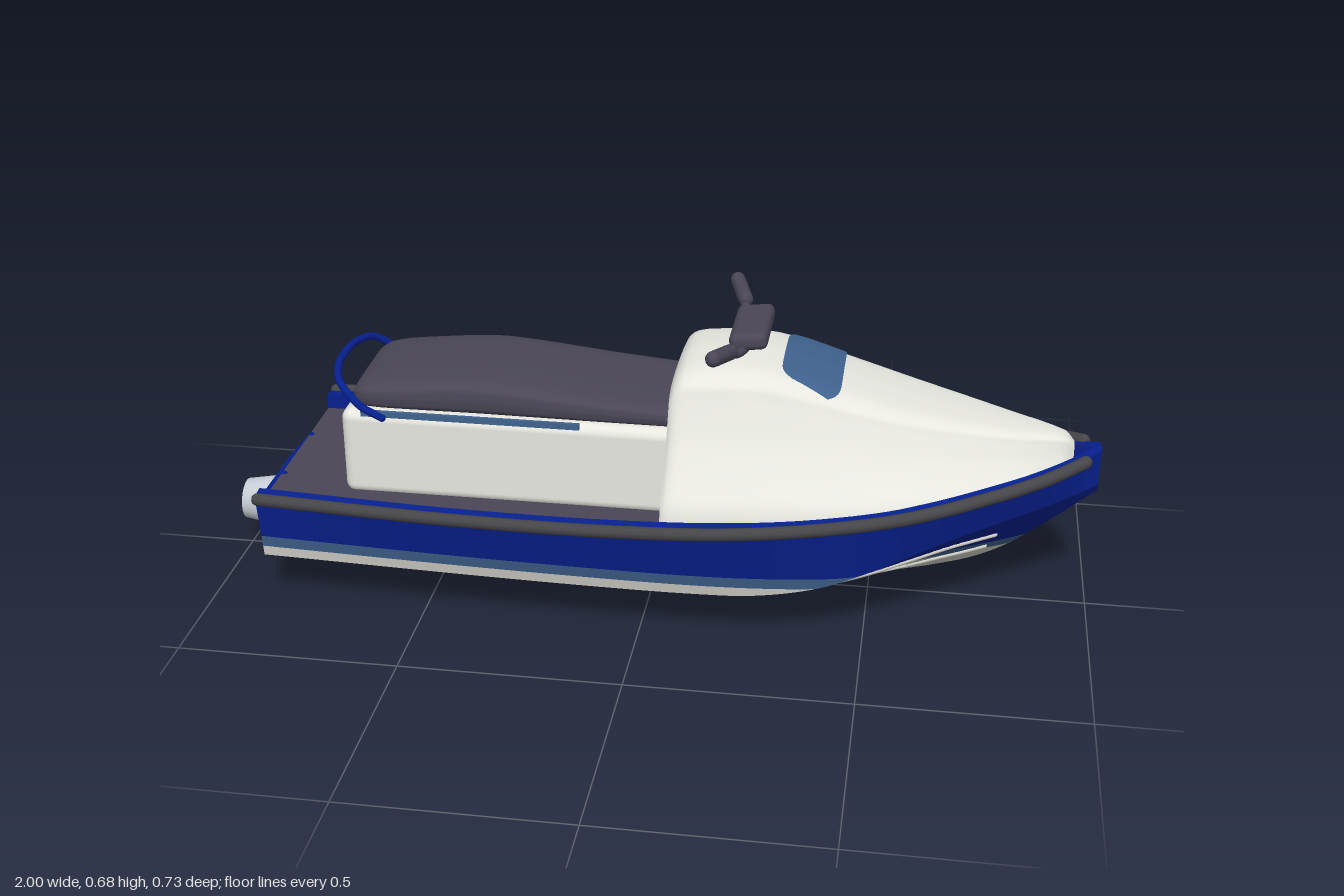
import * as THREE from 'three';
import { RoundedBoxGeometry } from 'three/addons/geometries/RoundedBoxGeometry.js';

const mat = (name, color) => new THREE.MeshStandardMaterial({ name, color, side: THREE.DoubleSide });

// Smooth interpolation through [x, value] pairs
function table(...p) {
  const slope = i => {
    const a = p[Math.max(0, i - 1)], b = p[Math.min(p.length - 1, i + 1)];
    return (b[1] - a[1]) / (b[0] - a[0]);
  };
  return x => {
    x = THREE.MathUtils.clamp(x, p[0][0], p[p.length - 1][0]);
    let i = 0;
    while (i < p.length - 2 && x > p[i + 1][0]) i++;
    const d = p[i + 1][0] - p[i][0], t = (x - p[i][0]) / d, s = 1 - t;
    return s * s * (1 + 2 * t) * p[i][1] + t * t * (3 - 2 * t) * p[i + 1][1]
      + d * t * s * (s * slope(i) - t * slope(i + 1));
  };
}

// Skin a list of cross-sections, each a list of [x, y, z]
function loft(sections) {
  const n = sections[0].length, index = [];
  for (let i = 0; i < sections.length - 1; i++)
    for (let j = 0; j < n - 1; j++) {
      const a = i * n + j, b = a + n;
      index.push(a, b, a + 1, b, b + 1, a + 1);
    }
  const g = new THREE.BufferGeometry();
  g.setAttribute('position', new THREE.Float32BufferAttribute(sections.flat(2), 3));
  g.setIndex(index);
  g.computeVertexNormals();
  return g;
}

const range = (a, b, n) => Array.from({ length: n + 1 }, (_, i) => a + (b - a) * i / n);

// Hull lines along x
const STERN = -0.87, BOW = 1, FLOOR = 0.25;
const keel = table([-0.87, 0.025], [-0.5, 0.008], [-0.2, 0.001], [0.2, 0.01], [0.5, 0.042], [0.7, 0.09], [0.8, 0.135], [0.9, 0.21], [1, 0.295]);
const chineY = table([-0.87, 0.12], [0.2, 0.12], [0.3, 0.128], [0.4, 0.147], [0.5, 0.178], [0.6, 0.215], [0.7, 0.246], [0.8, 0.268], [0.9, 0.288], [1, 0.315]);
const chineW = table([-0.87, 0.265], [-0.4, 0.285], [0, 0.295], [0.2, 0.292], [0.4, 0.277], [0.5, 0.254], [0.6, 0.222], [0.7, 0.178], [0.8, 0.127], [0.9, 0.07], [1, 0.014]);
const sheerY = table([-0.87, 0.283], [-0.4, 0.286], [0, 0.295], [0.5, 0.326], [0.8, 0.364], [0.95, 0.388], [1, 0.405]);
const sheerW = table([-0.87, 0.292], [-0.4, 0.328], [0, 0.342], [0.2, 0.34], [0.4, 0.313], [0.6, 0.26], [0.8, 0.165], [0.9, 0.1], [1, 0.02]);
const innerW = x => Math.max(0.002, sheerW(x) - 0.035);

function hullWidth(x, y) {
  const k = keel(x), c = chineY(x), s = sheerY(x);
  return y <= c ? chineW(x) * Math.max(0, y - k) / (c - k)
    : THREE.MathUtils.lerp(chineW(x), sheerW(x), (y - c) / (s - c));
}

// Cowl surface: a flared shoulder profile scaled along x
const cowlTop = table([0.05, 0.55], [0.06, 0.572], [0.08, 0.587], [0.13, 0.595], [0.2, 0.598], [0.28, 0.592], [0.45, 0.543], [0.6, 0.502], [0.8, 0.457], [0.92, 0.432], [0.94, 0.412]);
const cowlScale = table([0.05, 0.97], [0.06, 0.99], [0.08, 1], [0.92, 1], [0.94, 0.8]);
const profile = new THREE.SplineCurve([[1, 0], [0.96, 0.2], [0.82, 0.38], [0.67, 0.585], [0.55, 0.81], [0.49, 0.915], [0.33, 0.98], [0, 1]]
  .map(p => new THREE.Vector2(...p))).getPoints(28);
function cowlHalf(x) {
  const y0 = sheerY(x) - 0.04, w = (sheerW(x) - 0.03) * cowlScale(x);
  return profile.map(p => [x, y0 + (cowlTop(x) - y0) * p.y, w * p.x]);
}
function cowlSection(x) {
  const half = cowlHalf(x);
  return [...half, ...half.slice(0, -1).reverse().map(([a, b, c]) => [a, b, -c])];
}
function cowlHeight(x, z) {
  const h = cowlHalf(x);
  let i = 0;
  while (i < h.length - 2 && h[i + 1][2] > Math.abs(z)) i++;
  const t = (Math.abs(z) - h[i][2]) / (h[i + 1][2] - h[i][2]);
  return h[i][1] + t * (h[i + 1][1] - h[i][1]);
}

export function createModel() {
  const root = new THREE.Group();
  root.name = 'jetBoat';
  const blue = mat('hullBlue', 0x07208f), white = mat('cowlWhite', 0xe8e8e1), grey = mat('bottomGrey', 0xd6d5cd);
  const slate = mat('slateBlue', 0x40628e), dark = mat('seatCharcoal', 0x4a4656), rubber = mat('bumperRubber', 0x45454a);
  const silver = mat('nozzleSilver', 0xc8ced6);
  const add = (name, geo, m, x = 0, y = 0, z = 0) => {
    const mesh = new THREE.Mesh(geo, m);
    mesh.name = name;
    mesh.position.set(x, y, z);
    root.add(mesh);
    return mesh;
  };
  const tube = (name, pts, r, m, seg = 40) => {
    const v = pts.map(p => new THREE.Vector3(...p));
    add(name, new THREE.TubeGeometry(new THREE.CatmullRomCurve3(v, false, 'centripetal'), seg, r, 10), m);
    for (const e of [v[0], v[v.length - 1]]) add(name + 'End', new THREE.SphereGeometry(r, 10, 8), m, e.x, e.y, e.z);
  };

  // Hull: three colour bands, creased at the chine
  const xs = range(STERN, BOW, 90), wellXs = range(STERN, 0.1, 40);
  const bands = [['hullBottom', 0, 0.145, grey], ['hullStripe', 0.145, 0.173, slate], ['hullSide', 0.173, 1, blue]];
  for (const [name, lo, hi, m] of bands) {
    const rows = x => {
      const a = THREE.MathUtils.clamp(lo, keel(x), sheerY(x)), b = THREE.MathUtils.clamp(hi, keel(x), sheerY(x));
      return [a, THREE.MathUtils.clamp(chineY(x), a, b), b];
    };
    for (const s of [1, -1]) for (const k of [0, 1])
      add(name, loft(xs.map(x => rows(x).slice(k, k + 2).map(y => [x, y, s * hullWidth(x, y)]))), m);
    // Flat transom and narrow stem face
    for (const [x, top] of [[STERN, FLOOR], [BOW, 1]])
      add(name + 'End', loft(rows(x).map(y => Math.min(y, top)).map(y => [[x, y, -hullWidth(x, y)], [x, y, hullWidth(x, y)]])), m);
  }

  // Gunwale cap, inner wall, rubber bumper
  for (const s of [1, -1]) {
    add('gunwaleCap', loft(xs.map(x => [[x, sheerY(x), s * sheerW(x)], [x, sheerY(x) + 0.004, s * innerW(x)]])), blue);
    add('innerWall', loft(wellXs.map(x => [[x, sheerY(x) + 0.004, s * innerW(x)], [x, FLOOR, s * innerW(x)]])), blue);
    add('gunwaleEnd', loft([sheerY(STERN), FLOOR].map(y => [[STERN, y, s * innerW(STERN)], [STERN, y, s * hullWidth(STERN, y)]])), blue);
    tube('bumper', range(STERN + 0.01, 0.965, 24).map(x => [x, sheerY(x) - 0.002, s * (sheerW(x) + 0.008)]), 0.0145, rubber, 80);

    // Running strakes on the bottom
    const outer = table([-0.5, 0.19], [0.5, 0.19], [0.65, 0.15], [0.78, 0.085]);
    const inner = table([-0.5, 0.095], [0.5, 0.095], [0.65, 0.075], [0.76, 0.045]);
    for (const [f, end] of [[outer, 0.78], [inner, 0.76]])
      tube('strake', range(-0.5, end, 24).map(x =>
        [x, keel(x) + (chineY(x) - keel(x)) * f(x) / chineW(x), s * f(x)]), 0.006, grey, 60);
  }
  add('footwellFloor', loft(wellXs.map(x => [[x, FLOOR, -innerW(x)], [x, FLOOR, innerW(x)]])), dark);
  for (const [x, z, length] of [[-0.36, -0.284, 0.12], [-0.265, 0.286, 0.25]])
    add('footwellSlot', new RoundedBoxGeometry(length, 0.008, 0.018, 2, 0.003), slate, x, FLOOR + 0.004, z);

  // Cowl with flat back face and blunt nose
  const cx = [0.05, 0.055, 0.06, 0.07, 0.08, 0.1, ...range(0.13, 0.91, 40), 0.92, 0.928, 0.935, 0.94];
  add('cowl', loft(cx.map(cowlSection)), white);
  for (const x of [0.05, 0.94])
    add('cowlEnd', loft([cowlSection(x), cowlSection(x).map(p => [x, p[1], 0])]), white);

  // Windscreen plate following the cowl
  add('windscreen', loft(range(-1, 1, 28).map(t => range(-1, 1, 10).map(u => {
    const x = 0.357 + u * 0.066 * (1 - 0.4 * Math.abs(t) ** 10), z = t * (0.131 + 0.01 * u);
    return [x, cowlHeight(x, z) + 0.006, z];
  }))), slate);

  // Seat base with a thin trim ledge along each side of the seat
  add('seatBase', new RoundedBoxGeometry(0.79, 0.21, 0.332, 5, 0.025), white, -0.305, 0.345, 0);
  for (const s of [1, -1]) add('seatTrim', new THREE.BoxGeometry(0.5, 0.014, 0.009), slate, -0.4, 0.447, s * 0.1625);

  // Padded seat
  const seatTop = table([-0.68, 0.48], [-0.67, 0.498], [-0.64, 0.509], [-0.55, 0.521], [-0.4, 0.535], [-0.3, 0.529], [-0.1, 0.507], [0.07, 0.492]);
  const seatW = table([-0.68, 0.11], [-0.67, 0.132], [-0.645, 0.149], [-0.58, 0.158], [-0.3, 0.16], [0.07, 0.151]);
  const soft = v => Math.sign(v) * Math.abs(v) ** 0.5;
  const seatRing = x => range(0, Math.PI * 2, 40).map(a => {
    const h = (seatTop(x) - 0.445) / 2;
    return [x, 0.445 + h + h * soft(Math.sin(a)), seatW(x) * soft(Math.cos(a))];
  });
  add('seat', loft([-0.68, -0.675, -0.67, -0.655, ...range(-0.64, 0.07, 24)].map(seatRing)), dark);
  add('seatBack', loft([seatRing(-0.68), seatRing(-0.68).map(() => [-0.681, 0.463, 0])]), dark);

  // Grab handle behind the seat and boarding step
  tube('grabHandle', [[-0.6, 0.44, 0.168], [-0.65, 0.465, 0.165], [-0.7, 0.505, 0.138], [-0.725, 0.518, 0.07], [-0.73, 0.52, 0],
    [-0.725, 0.518, -0.07], [-0.7, 0.505, -0.138], [-0.65, 0.465, -0.165], [-0.6, 0.44, -0.168]], 0.009, blue, 60);
  for (const s of [1, -1]) tube('stepArm', [[-0.865, 0.247, s * 0.105], [-0.925, 0.175, s * 0.105]], 0.008, blue, 4);
  tube('stepBar', [[-0.925, 0.175, 0.105], [-0.925, 0.175, -0.105]], 0.008, blue, 4);

  // Jet nozzle, hollow at the rear
  const nozzle = [[0.06, -0.02], [0.062, 0.05], [0.058, 0.07], [0.048, 0.13], [0.04, 0.13], [0.04, 0.04], [0, 0.04]];
  add('jetNozzle', new THREE.LatheGeometry(nozzle.map(p => new THREE.Vector2(...p)), 28), silver, -0.87, 0.12, 0).rotation.z = Math.PI / 2;

  // Steering column, pad, bar and grips
  add('steeringColumn', new THREE.CylinderGeometry(0.02, 0.022, 0.06, 16), dark, 0.215, 0.605, 0);
  add('steeringPad', new RoundedBoxGeometry(0.085, 0.04, 0.195, 4, 0.016), dark, 0.215, 0.643, 0).rotation.z = 0.12;
  tube('handlebar', [[0.175, 0.642, 0.16], [0.195, 0.628, 0.12], [0.21, 0.622, 0.06], [0.212, 0.622, 0],
    [0.21, 0.622, -0.06], [0.195, 0.628, -0.12], [0.175, 0.642, -0.16]], 0.01, dark);
  for (const s of [1, -1]) tube('grip', [[0.183, 0.646, s * 0.155], [0.156, 0.662, s * 0.235]], 0.0175, dark, 6);
  return root;
}
